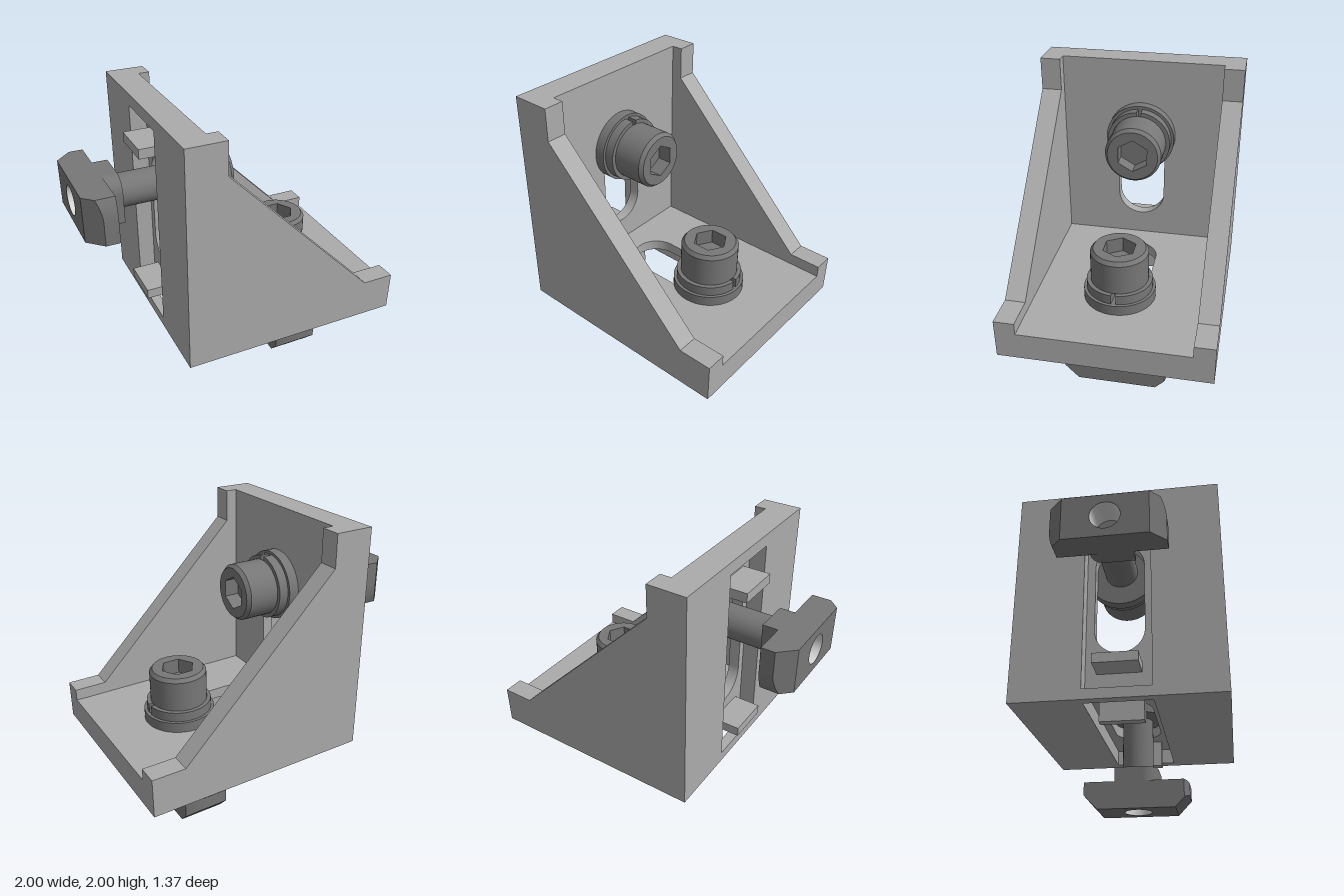
import * as THREE from 'three';
import { toCreasedNormals } from 'three/addons/utils/BufferGeometryUtils.js';

const bracketGrey = new THREE.MeshStandardMaterial({ color: 0xababab });
bracketGrey.name = 'light grey casting';
const steel = new THREE.MeshStandardMaterial({ color: 0x777777, side: THREE.DoubleSide });
steel.name = 'dark steel';
const thread = new THREE.MeshStandardMaterial({ color: 0xd8d8d8, side: THREE.DoubleSide });
thread.name = 'bright thread';

const WALL = 0.55, HALF = 0.685;   // inner and outer half widths
const BOLT_X = 0.465;

function add(parent, name, geometry, material) {
  const mesh = new THREE.Mesh(geometry, material);
  mesh.name = name;
  parent.add(mesh);
  return mesh;
}

function box(parent, name, [x0, x1], [y0, y1], [z0, z1]) {
  const g = new THREE.BoxGeometry(x1 - x0, y1 - y0, z1 - z0);
  g.translate((x0 + x1) / 2, (y0 + y1) / 2, (z0 + z1) / 2);
  return add(parent, name, g, bracketGrey);
}

const polygon = pts => new THREE.Shape(pts.map(([x, y]) => new THREE.Vector2(x, y)));

// Extrudes a plan shape upwards from y0 to y1 (shape y becomes -z)
function slab(shape, y0, y1, steps = 1) {
  const g = new THREE.ExtrudeGeometry(shape, { depth: y1 - y0, bevelEnabled: false, curveSegments: 24, steps });
  g.rotateX(-Math.PI / 2);
  g.translate(0, y0, 0);
  return g;
}

function tube(rTop, rBottom, y0, y1, open = false) {
  const g = new THREE.CylinderGeometry(rTop, rBottom, y1 - y0, 48, 1, open);
  g.translate(0, (y0 + y1) / 2, 0);
  return g;
}

// Block outline with two opposite corners rounded about (c, c)
function turnShape(w, l, c, r) {
  const end = Math.acos((w - c) / r);
  const s = new THREE.Shape();
  s.moveTo(-w, l);
  s.lineTo(c, l);
  s.absarc(c, c, r, Math.PI / 2, end, true);
  s.lineTo(w, -l);
  s.lineTo(-c, -l);
  s.absarc(-c, -c, r, -Math.PI / 2, end - Math.PI, true);
  s.closePath();
  return s;
}

function makeBolt() {
  const bolt = new THREE.Group();
  bolt.name = 'bolt';
  add(bolt, 'shaft', tube(0.11, 0.11, 0.25, 0.82), steel);
  add(bolt, 'washer', tube(0.237, 0.237, 0.665, 0.735), steel);

  // split spring washer with its gap facing +x
  const gap = 0.07, ring = new THREE.Shape();
  ring.absarc(0, 0, 0.217, gap, Math.PI * 2 - gap, false);
  ring.absarc(0, 0, 0.13, Math.PI * 2 - gap, gap, true);
  ring.closePath();
  add(bolt, 'springWasher', toCreasedNormals(slab(ring, 0.735, 0.8), 0.5), steel);

  // cap head with hexagon socket
  add(bolt, 'headBase', tube(0.19, 0.19, 0.8, 0.93), steel);
  add(bolt, 'headSide', tube(0.19, 0.19, 0.93, 1.005, true), steel);
  add(bolt, 'headChamfer', tube(0.17, 0.19, 1.005, 1.03, true), steel);
  const top = new THREE.Shape();
  top.absarc(0, 0, 0.17, 0, Math.PI * 2, false);
  const hex = [0, 1, 2, 3, 4, 5].map(i => [0.112 * Math.cos(i * Math.PI / 3), 0.112 * Math.sin(i * Math.PI / 3)]);
  top.holes.push(polygon(hex));
  add(bolt, 'headSocket', slab(top, 0.93, 1.03), steel);

  // turn-in slot nut: chamfered ends, threaded hole, collar
  const plan = turnShape(0.15, 0.365, 0, 0.365);
  const hole = new THREE.Path();
  hole.absarc(0, 0, 0.095, 0, Math.PI * 2, true);
  plan.holes.push(hole);
  const nut = slab(plan, 0, 0.19, 2), p = nut.attributes.position;
  for (let i = 0; i < p.count; i++) {
    const y = p.getY(i), z = p.getZ(i), a = Math.abs(z);
    if (a < 0.27) continue;
    if (y < 0.01) p.setZ(i, Math.sign(z) * 0.27);
    else if (y < 0.15) p.setY(i, (a - 0.27) * 1.05);
  }
  add(bolt, 'slotNut', toCreasedNormals(nut, 0.4), steel);
  add(bolt, 'nutThread', tube(0.094, 0.094, 0.001, 0.189, true), thread);
  add(bolt, 'nutCollar', toCreasedNormals(slab(turnShape(0.15, 0.15, 0.05, 0.1), 0.19, 0.29), 0.4), steel);
  bolt.position.x = BOLT_X;
  return bolt;
}

// One flange of the bracket with its pocket, slot, tabs and bolt
function makeFlange() {
  const flange = new THREE.Group();

  // outer layer, open towards the corner
  add(flange, 'pocketLayer', slab(polygon([
    [-0.41, -WALL], [1, -WALL], [1, WALL], [-0.41, WALL],
    [-0.41, 0.22], [0.92, 0.22], [0.92, -0.22], [-0.41, -0.22],
  ]), 0.48, 0.59), bracketGrey);

  // inner layer with round-ended slot
  const plate = polygon([[-0.335, -WALL], [1, -WALL], [1, WALL], [-0.335, WALL]]);
  const slot = new THREE.Path();
  slot.absarc(0.475, 0, 0.165, -Math.PI / 2, Math.PI / 2, false);
  slot.absarc(-0.005, 0, 0.165, Math.PI / 2, Math.PI * 1.5, false);
  slot.closePath();
  plate.holes.push(slot);
  add(flange, 'slotLayer', toCreasedNormals(slab(plate, 0.59, 0.665), 0.5), bracketGrey);

  // locating tabs
  for (const x of [-0.315, 0.72]) box(flange, 'locatingTab', [x, x + 0.065], [0.405, 0.595], [-0.145, 0.145]);

  flange.add(makeBolt());
  return flange;
}

export function createModel() {
  const model = new THREE.Group();
  model.name = 'cornerBracket';

  const bottom = makeFlange();
  bottom.name = 'bottomFlange';
  model.add(bottom);

  // the upright flange swaps x and y
  const back = makeFlange();
  back.name = 'uprightFlange';
  back.quaternion.setFromAxisAngle(new THREE.Vector3(1, 1, 0).normalize(), Math.PI);
  back.position.set(-1, 1, 0);
  model.add(back);

  // corner where both pockets meet
  box(model, 'cornerBar', [-0.52, -0.45], [0.48, 0.55], [-0.22, 0.22]);
  box(model, 'innerCorner', [-0.41, -0.335], [0.59, 0.665], [-WALL, WALL]);
  for (const z of [[-WALL, -0.22], [0.22, WALL]]) box(model, 'cornerBlock', [-0.52, -0.41], [0.48, 0.59], z);

  // gusset side walls
  const gusset = polygon([
    [-0.52, 0.48], [1, 0.48], [1, 0.745], [0.78, 0.745], [-0.26, 1.785], [-0.26, 2], [-0.52, 2],
  ]);
  for (const z of [WALL, -HALF]) {
    const g = new THREE.ExtrudeGeometry(gusset, { depth: HALF - WALL, bevelEnabled: false });
    add(model, 'sideGusset', g, bracketGrey).position.z = z;
  }
  return model;
}
